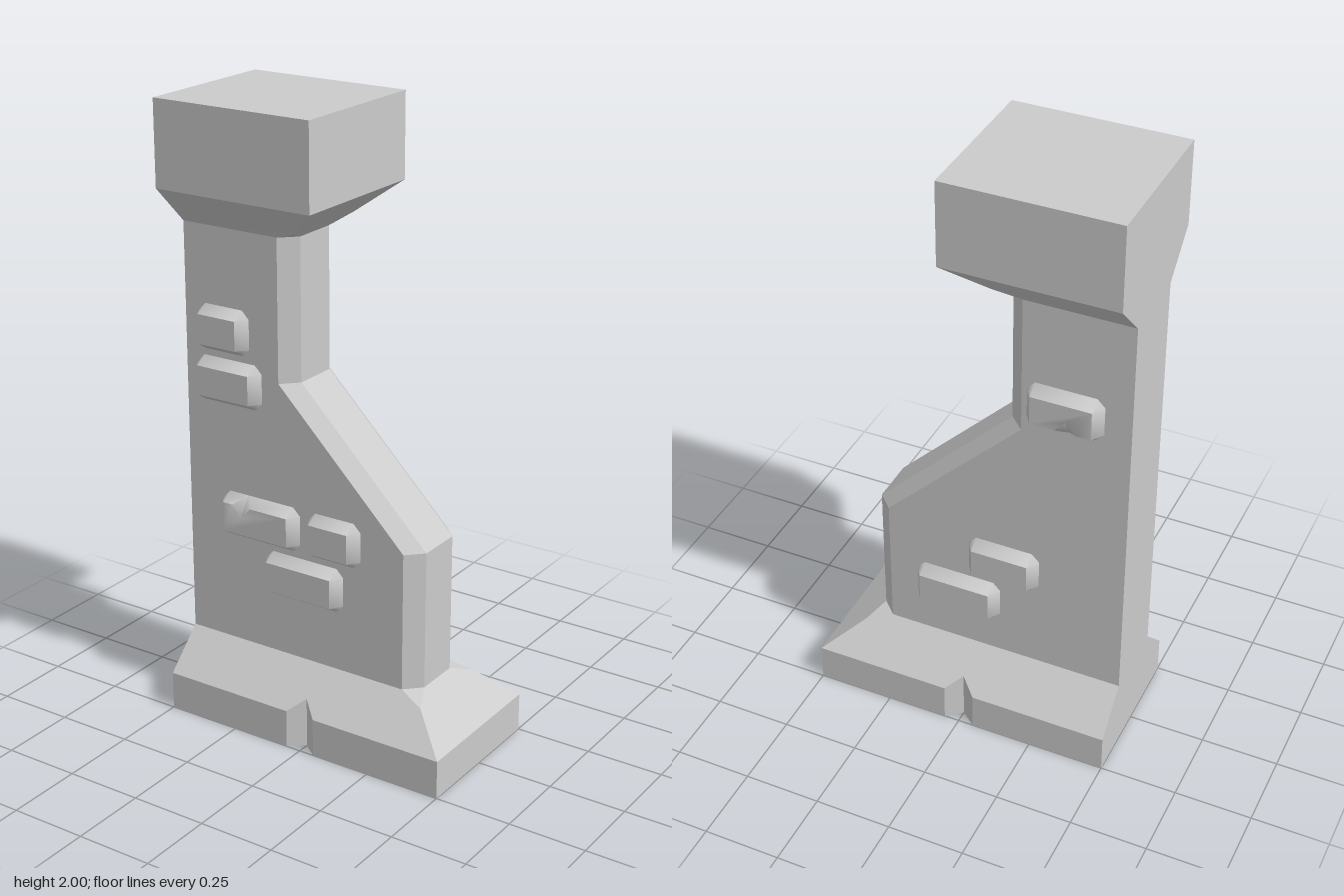
import * as THREE from 'three';
import { toCreasedNormals } from 'three/addons/utils/BufferGeometryUtils.js';

const stone = new THREE.MeshStandardMaterial({ color: 0xcccccc, side: THREE.DoubleSide });
const flatStone = new THREE.MeshStandardMaterial({ color: 0xcccccc, side: THREE.DoubleSide, flatShading: true });

// Skin between matching closed rings of [x, y, z]; zero-area triangles are dropped
function loft(rings, capTriangles = []) {
  const out = [];
  const a = new THREE.Vector3(), b = new THREE.Vector3(), c = new THREE.Vector3();
  const tri = (p, q, r) => {
    a.fromArray(p); b.fromArray(q); c.fromArray(r);
    if (b.sub(a).cross(c.sub(a)).length() > 1e-7) out.push(...p, ...q, ...r);
  };
  for (let k = 0; k + 1 < rings.length; k++) {
    const lo = rings[k], hi = rings[k + 1];
    for (let i = 0; i < lo.length; i++) {
      const j = (i + 1) % lo.length;
      tri(lo[i], lo[j], hi[j]);
      tri(lo[i], hi[j], hi[i]);
    }
  }
  capTriangles.forEach((t) => tri(...t));
  const geo = new THREE.BufferGeometry();
  geo.setAttribute('position', new THREE.Float32BufferAttribute(out, 3));
  geo.computeVertexNormals();
  return geo;
}

// Front half of a ring completed by its mirror image in z
const mirrored = (half) => [...half, ...half.slice().reverse().map(([x, y, z]) => [x, y, -z])];

// Column section: flat on the left, bevelled on the right
const section = (xr, y) => [[-0.5, y, 0.125], [xr - 0.05, y, 0.125], [xr, y, 0.075]];

function named(name, geo, material) {
  const mesh = new THREE.Mesh(geo, material);
  mesh.name = name;
  return mesh;
}

// Plinth: open underneath, V groove in front and back, sloped shoulder
function makeBase() {
  const groove = (y, z, yMid, zMid) => [[-0.05, y, z], [0, yMid, zMid], [0.05, y, z]];
  const outer = (y, yMid) => mirrored(
    [[-0.5, y, 0.25], ...groove(y, 0.25, yMid, 0.21), [0.5, y, 0.25], [0.5, y, 0.25]]);
  const mid = groove(0.25, 0.125, 0.25, 0.125);
  const corner = [0.38, 0.222, 0.153];
  const [s0, s1, s2] = section(0.345, 0.25);
  return loft([
    outer(0, 0), outer(0.125, 0.165),
    mirrored([s0, ...mid, corner, corner]),
    mirrored([s0, ...mid, s1, s2]),
  ]);
}

// Shaft: wide below, leaning in to a narrow neck
function makeColumn() {
  const rows = [[0.345, 0.25], [0.345, 0.7], [-0.105, 1.15], [-0.105, 1.605]];
  return loft(rows.map(([xr, y]) => mirrored(section(xr, y))));
}

// Head block on a flared underside
function makeHead() {
  const block = (y) => mirrored([[-0.5, y, 0.25], [0.05, y, 0.25], [0.05, y, 0.25]]);
  const neck = section(-0.105, 1.605);
  const corner = [-0.07, 1.634, 0.153];
  const top = block(2);
  return loft(
    [mirrored(neck), mirrored([neck[0], corner, corner]), block(1.73), top],
    [[top[0], top[1], top[4]], [top[0], top[4], top[5]]]);
}

// Raised brick with bevelled rim; chip = x of an optional nick in its upper edge
function makeBrick(w, h, chip) {
  const X = w / 2, Y = h / 2, b = 0.025, D = 0.04;
  const x = X - b, y = Y - b;
  const outer = [[-x, -Y], [x, -Y], [X, -y], [X, y], [x, Y]];
  const inner = [[-x, -y], [x, -y], [x, -y], [x, y], [x, y]];
  if (chip !== undefined) {
    outer.push([chip, Y], [chip, Y], [chip, Y]);
    inner.push([chip + 0.034, y], [chip, y - 0.038], [chip - 0.034, y]);
  }
  outer.push([-x, Y], [-X, y], [-X, -y]);
  inner.push([-x, y], [-x, y], [-x, -y]);
  const at = (ring, z) => ring.map(([px, py]) => [px, py, z]);
  const face = inner.filter((p, i) => {
    const q = inner[(i + 1) % inner.length];
    return p[0] !== q[0] || p[1] !== q[1];
  });
  const cap = THREE.ShapeUtils.triangulateShape(face.map((p) => new THREE.Vector2(...p)), [])
    .map((t) => t.map((i) => [...face[i], D]));
  return toCreasedNormals(loft([at(outer, 0), at(inner, D)], cap), 0.8);
}

// Bricks as [x0, x1, y0, y1, chip x, chip side]
const frontBricks = [
  [-0.45, -0.262, 1.213, 1.358],
  [-0.457, -0.217, 1.047, 1.192],
  [-0.37, -0.08, 0.612, 0.758, -0.275, 1],
  [-0.047, 0.142, 0.612, 0.758],
  [-0.207, 0.08, 0.447, 0.592],
];
const backBricks = [
  [-0.415, -0.172, 1.188, 1.333, -0.31, -1],
  [-0.22, 0.017, 0.54, 0.685],
  [-0.09, 0.198, 0.375, 0.52],
];

export function createModel() {
  const model = new THREE.Group();
  model.name = 'stonePillar';
  model.add(
    named('base', makeBase(), flatStone),
    named('column', makeColumn(), flatStone),
    named('head', makeHead(), flatStone));

  const addBricks = (list, name, side) => list.forEach(([x0, x1, y0, y1, chip, up = 1], i) => {
    const cx = (x0 + x1) / 2;
    const local = chip === undefined ? undefined : (chip - cx) * side * up;
    const brick = named(name + (i + 1), makeBrick(x1 - x0, y1 - y0, local), stone);
    brick.position.set(cx, (y0 + y1) / 2, side * 0.125);
    // Turn to face the back, and upside down when the chip is below
    brick.rotation.set(0, side < 0 ? Math.PI : 0, up < 0 ? Math.PI : 0);
    model.add(brick);
  });
  addBricks(frontBricks, 'frontBrick', 1);
  addBricks(backBricks, 'backBrick', -1);
  return model;
}
